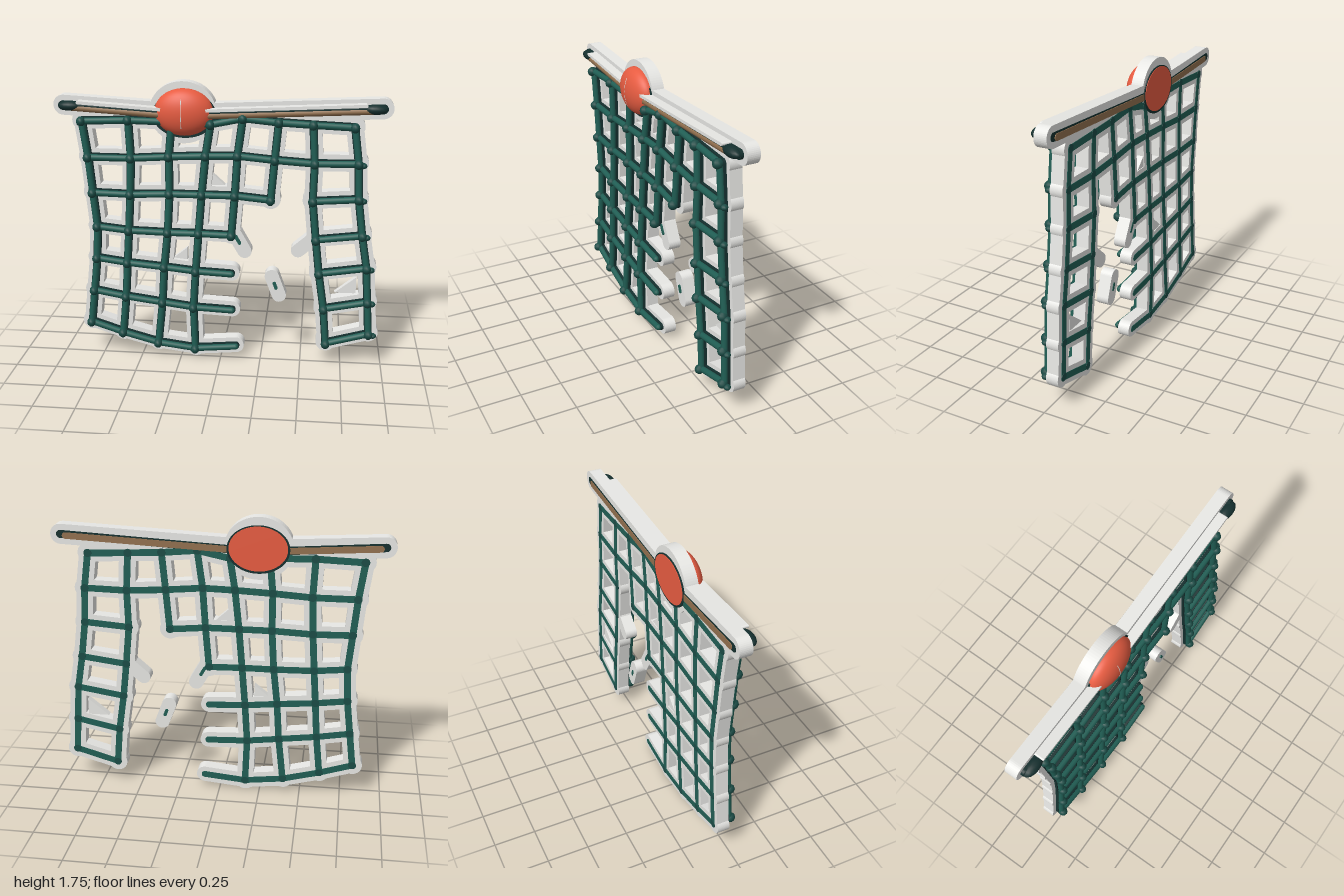
import * as THREE from 'three';

const mat = (name, color) => Object.assign(new THREE.MeshStandardMaterial({ color }), { name });
const BACK = -0.08, DEPTH = 0.076;

export function createModel() {
  const model = new THREE.Group();
  model.name = 'tornNet';
  const grey = mat('pale grey', 0xe8e8e5);
  const green = mat('rope green', 0x215f55);
  const knotGreen = mat('knot green', 0x1b4c46);
  const dark = mat('dark teal', 0x15302f);
  const wood = mat('wood', 0x92704f);
  const orange = mat('coral', 0xf06044);

  const groups = {};
  const add = (group, name, geo, material) => {
    if (!groups[group]) {
      groups[group] = new THREE.Group();
      groups[group].name = group;
      model.add(groups[group]);
    }
    const m = new THREE.Mesh(geo, material);
    m.name = name;
    groups[group].add(m);
    return m;
  };

  // Flat plate of a shape, from z0 forward by depth
  const plate = (shape, z0, depth, curveSegments = 10) =>
    new THREE.ExtrudeGeometry(shape, { depth, bevelEnabled: false, curveSegments }).translate(0, 0, z0);
  const capsule = (a, b, r, z0, depth) => {
    const t = Math.atan2(b[1] - a[1], b[0] - a[0]);
    const s = new THREE.Shape();
    s.absarc(b[0], b[1], r, t - Math.PI / 2, t + Math.PI / 2, false);
    s.absarc(a[0], a[1], r, t + Math.PI / 2, t + Math.PI * 1.5, false);
    s.closePath();
    return plate(s, z0, depth);
  };
  const ellipse = (x, y, rx, ry, z0, depth) => {
    const s = new THREE.Shape();
    s.absellipse(x, y, rx, ry, 0, Math.PI * 2, false);
    return plate(s, z0, depth, 40);
  };
  // Round bar between two points
  const bar = (group, name, a, b, z, r, material) => {
    const va = new THREE.Vector3(a[0], a[1], z), d = new THREE.Vector3(b[0], b[1], z).sub(va);
    const m = add(group, name, new THREE.CylinderGeometry(r, r, d.length(), 10), material);
    m.position.copy(va).addScaledVector(d, 0.5);
    m.quaternion.setFromUnitVectors(new THREE.Vector3(0, 1, 0), d.normalize());
  };
  const blob = (group, name, x, y, z, sx, sy, sz, material, n = 6) => {
    const m = add(group, name, new THREE.SphereGeometry(1, n * 2, n), material);
    m.position.set(x, y, z);
    m.scale.set(sx, sy, sz);
    return m;
  };

  // Net crossings by row; null marks the torn gap
  const rows = [
    [[-.83, 1.505], [-.55, 1.515], [-.29, 1.51], [-.06, 1.5], [.13, 1.54], [.34, 1.52], [.54, 1.51], [.78, 1.5]],
    [[-.8, 1.285], [-.54, 1.285], [-.31, 1.3], [-.09, 1.31], [.1, 1.315], [.32, 1.295], [.555, 1.28], [.81, 1.285]],
    [[-.78, 1.065], [-.55, 1.06], [-.31, 1.07], [-.115, 1.07], [.085, 1.07], [.3, 1.05], [.55, 1.05], [.82, 1.07]],
    [[-.76, .85], [-.565, .83], [-.325, .825], [-.135, .825], [.065, .82], null, [.575, .81], [.85, .845]],
    [[-.77, .645], [-.58, .62], [-.35, .6], [-.155, .58], [.065, .57], null, [.6, .595], [.885, .64]],
    [[-.795, .43], [-.595, .395], [-.365, .365], [-.17, .34], [.07, .33], null, [.635, .365], [.9, .42]],
    [[-.82, .215], [-.62, .15], [-.395, .09], [-.16, .061], [.095, .085], null, [.655, .135], [.915, .21]]
  ];
  const links = [];
  rows.forEach((row, j) => row.forEach((p, i) => {
    if (!p) return;
    const right = row[i + 1], below = rows[j + 1] && rows[j + 1][i];
    if (right && !(i === 5 && j > 1)) links.push([p, right]);
    if (below && !(i === 4 && j > 2)) links.push([p, below]);
    // Loose rope ends carry no knot
    if (i === 4 && j > 3) return;
    add('backing', 'knotBacking', ellipse(p[0], p[1], .06, .06, BACK, DEPTH), grey);
    blob('knots', 'knot', p[0], p[1], .032, .028, .03, .032, knotGreen);
    add('backStrips', 'backKnot', ellipse(p[0], p[1], .024, .024, BACK - .005, .006), knotGreen);
    if (i === 7 && j > 0) blob('knots', 'knotTail', p[0] + .028, p[1] - .01, .02, .022, .018, .022, knotGreen);
  }));

  // Ropes with a dark underside, their wide backing, and the strips on the back
  for (const [a, b] of links) {
    add('backing', 'ropeBacking', capsule(a, b, .051, BACK, DEPTH), grey);
    bar('ropes', 'rope', a, b, .021, .0195, green);
    add('ropes', 'ropeUnderside', capsule(a, b, .0235, -.006, .018), dark);
    add('backStrips', 'backStrip', capsule(a, b, .02, BACK - .003, .004), green);
  }
  for (const j of [4, 5, 6]) blob('ropes', 'ropeEnd', ...rows[j][4], .021, .0195, .0195, .0195, green);

  // Torn scraps around the gap
  const scraps = [[[.085, .82], [.145, .715], .044], [[.55, .8], [.47, .73], .042], [[.315, .555], [.36, .435], .044]];
  scraps.forEach(([a, b, r], k) => {
    add('backing', 'scrap', capsule(a, b, r, BACK, DEPTH), grey);
    if (k === 1) return;
    const mix = (t) => [a[0] + (b[0] - a[0]) * t, a[1] + (b[1] - a[1]) * t];
    const ends = k ? [mix(.35), mix(.6)] : [mix(.1), mix(.5)];
    add('ropes', 'scrapThread', capsule(...ends, .01, -.005, .009), green);
    add('backStrips', 'scrapStrip', capsule(...ends, .01, BACK - .003, .004), green);
  });

  // Small webs in the corners of a few cells
  const webs = [[[-.065, 1.2], [-.065, 1.11], [.04, 1.105]], [[-.21, .715], [-.31, .635], [-.21, .635]], [[.83, .56], [.7, .455], [.83, .455]]];
  for (const w of webs) {
    const s = new THREE.Shape(w.map((p) => new THREE.Vector2(...p)));
    add('backing', 'cornerWeb', plate(s, BACK + .005, .04), grey);
  }

  // Cross rod: backing, wooden bar, dark outline, pale ledge, end wraps, back strip
  const hub = [-.22, 1.545];
  for (const end of [[-.94, 1.595], [.938, 1.608]]) {
    const s = Math.sign(end[0]);
    const tip = [end[0] - s * .03, end[1] - .008];
    add('backing', 'rodBacking', capsule([hub[0], hub[1] + .01], end, .06, BACK, DEPTH), grey);
    bar('rod', 'woodenRod', hub, tip, .028, .019, wood);
    add('rod', 'rodOutline', capsule([hub[0], hub[1] + .006], end, .027, -.006, .02), dark);
    bar('rod', 'rodLine', [hub[0], hub[1] + .018], [tip[0], tip[1] + .016], .026, .015, dark);
    add('rod', 'paleLedge', capsule([hub[0], hub[1] + .034], [end[0] - s * .1, end[1] + .024], .009, -.006, .06), grey);
    blob('rod', 'endWrap', end[0] - s * .045, end[1], .02, .07, .03, .038, dark, 8);
    add('backStrips', 'backRodOutline', capsule(hub, end, .024, BACK - .002, .004), dark);
    add('backStrips', 'backRodStrip', capsule(hub, tip, .019, BACK - .006, .006), wood);
  }

  // Oval float with its rim, seam and back face
  add('backing', 'floatBacking', ellipse(-.225, 1.563, .2, .184, BACK, DEPTH), grey);
  add('float', 'floatRim', ellipse(-.215, 1.551, .189, .137, -.006, .011), dark);
  blob('float', 'floatBody', -.217, 1.567, 0, .175, .14, .085, orange, 24);
  const seam = add('float', 'floatSeam', new THREE.TorusGeometry(1, .012, 6, 20, 1.3).rotateZ(-.65).rotateY(-Math.PI / 2), grey);
  seam.position.set(-.225, 1.567, 0);
  seam.scale.set(.175, .14, .085);
  add('float', 'floatBackRim', ellipse(-.222, 1.558, .182, .141, BACK - .007, .008), dark);
  add('float', 'floatBack', ellipse(-.222, 1.562, .17, .131, BACK - .01, .009), orange);

  return model;
}
